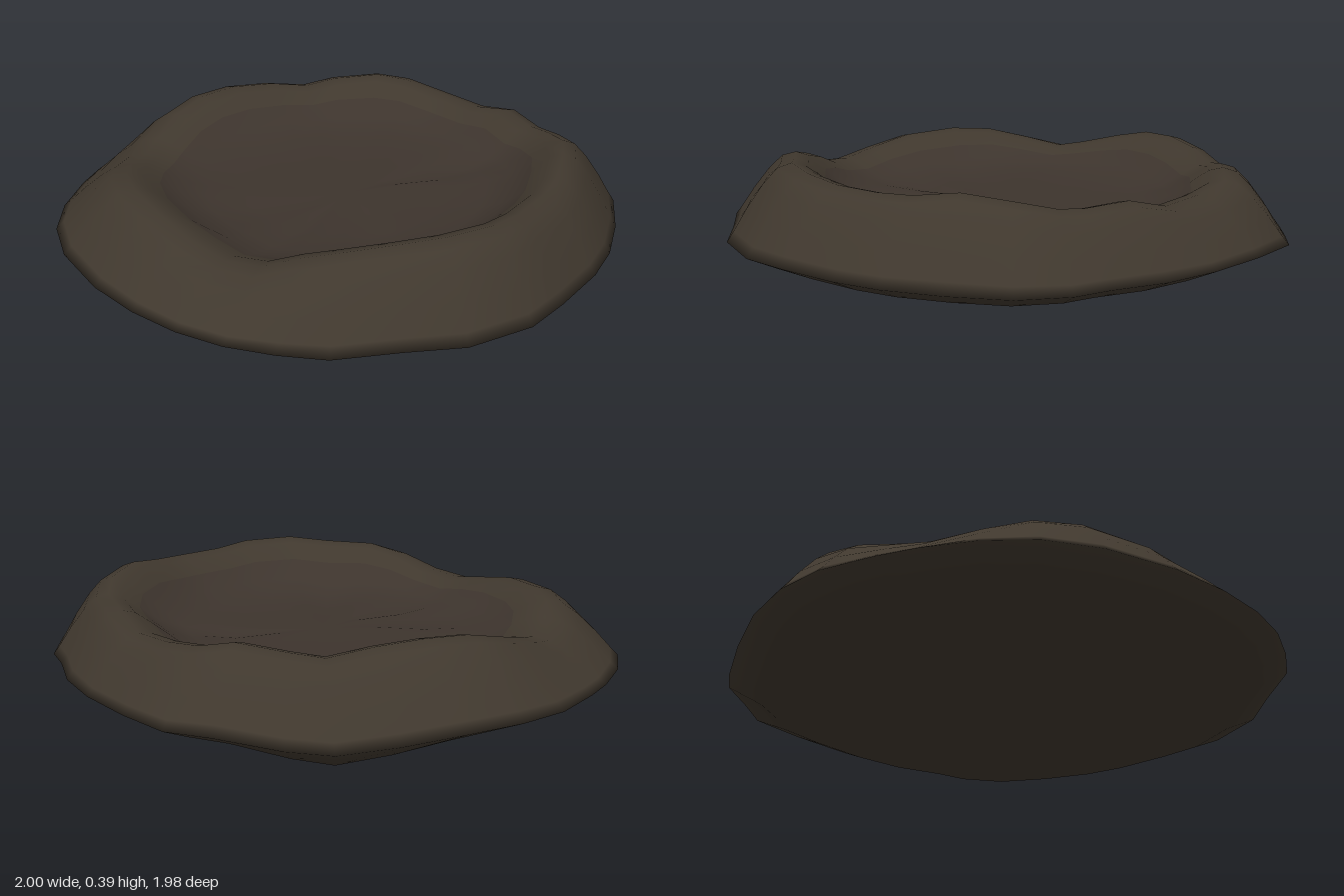
import * as THREE from 'three';

// Rim outline seen from above, as x, z pairs running from the left side over the front
const OUTLINE = [
  1, 0.13, 0.97, 0.31, 0.86, 0.49, 0.73, 0.65, 0.6, 0.76, 0.4, 0.88, 0.24, 0.96, 0, 0.985,
  -0.2, 0.93, -0.42, 0.88, -0.56, 0.79, -0.69, 0.68, -0.8, 0.54, -0.89, 0.37, -0.96, 0.17, -1, -0.09,
  -0.98, -0.29, -0.91, -0.46, -0.8, -0.62, -0.71, -0.72, -0.56, -0.86, -0.4, -0.94, -0.21, -0.985, 0, -0.995,
  0.2, -0.985, 0.35, -0.96, 0.55, -0.86, 0.69, -0.79, 0.8, -0.61, 0.9, -0.4, 0.96, -0.2, 0.975, 0,
];
// Height of the padded rim's crest at each outline point
const CREST = [
  0.34, 0.37, 0.39, 0.37, 0.365, 0.365, 0.38, 0.385, 0.37, 0.36, 0.33, 0.28, 0.265, 0.29, 0.32, 0.33,
  0.32, 0.29, 0.26, 0.28, 0.32, 0.35, 0.355, 0.34, 0.31, 0.33, 0.35, 0.33, 0.31, 0.3, 0.34, 0.33,
];
const N = CREST.length;
const bump = (j, centre, width) => Math.exp(-(((j - centre) / width) ** 2));
const mix = THREE.MathUtils.lerp;

// Cross-section rings: [scale of outline, height rule for outline point j]
const sag = (j) => 0.065 * bump(j, 24, 1.5);
const edge = (j) => 0.12 - sag(j) * 0.7;
const crease = (j) => 0.015 * (bump(j, 8, 0.8) + bump(j, 14.5, 0.8) + bump(j, 12, 0.7) + bump(j, 31, 0.8));
const wall = (t) => (j) => mix(edge(j), CREST[j], t);
const inner = (t) => (j) => mix(0.2 - crease(j), CREST[j], t);
const UNDERSIDE = [
  [0, () => 0.055],
  [0.45, (j) => 0.06 - sag(j) * 0.5],
  [0.88, (j) => 0.065 - sag(j)],
];
const RIM = [
  [1, edge], [0.975, wall(0.14)], [0.93, wall(0.42)], [0.87, wall(0.74)],
  [0.82, wall(0.94)], [0.77, wall(1)], [0.72, inner(0.92)], [0.66, inner(0.62)],
];
const FLOOR = [
  [0.59, inner(0.28)], [0.5, inner(0.08)], [0.35, inner(0)], [0.15, () => 0.197], [0, () => 0.197],
];

export function createModel() {
  const group = new THREE.Group();
  const fabric = new THREE.MeshStandardMaterial({ color: 0x40382e });
  fabric.name = 'dark brown';
  const lining = new THREE.MeshStandardMaterial({ color: 0x3d342d });
  lining.name = 'warm dark brown';

  const rings = [...UNDERSIDE, ...RIM, ...FLOOR];
  const pos = [];
  const index = [];
  rings.forEach(([s, height], r) => {
    // The hollow sits a little towards the left of the cushion
    const shift = r > UNDERSIDE.length ? 0.03 * Math.min(1, (1 - s) * 4) : 0;
    for (let j = 0; j < N; j++) {
      pos.push(OUTLINE[2 * j] * s + shift, height(j), OUTLINE[2 * j + 1] * s);
    }
  });
  for (let r = 0; r < rings.length - 1; r++) {
    for (let j = 0; j < N; j++) {
      const k = (j + 1) % N;
      const a = r * N + j, b = r * N + k, c = a + N, d = b + N;
      // Skip collapsed triangles at the two centres
      if (rings[r][0] > 0) index.push(a, c, b);
      if (rings[r + 1][0] > 0) index.push(b, c, d);
    }
  }
  const geometry = new THREE.BufferGeometry();
  geometry.setAttribute('position', new THREE.Float32BufferAttribute(pos, 3));
  geometry.setIndex(index);
  geometry.computeVertexNormals();

  // Underside and rim share one colour, the sunken floor has the other
  const floorStart = index.length - (FLOOR.length * 6 - 3) * N;
  geometry.addGroup(0, floorStart, 0);
  geometry.addGroup(floorStart, index.length - floorStart, 1);

  const cushion = new THREE.Mesh(geometry, [fabric, lining]);
  cushion.name = 'sunkenCushion';
  group.add(cushion);
  return group;
}
